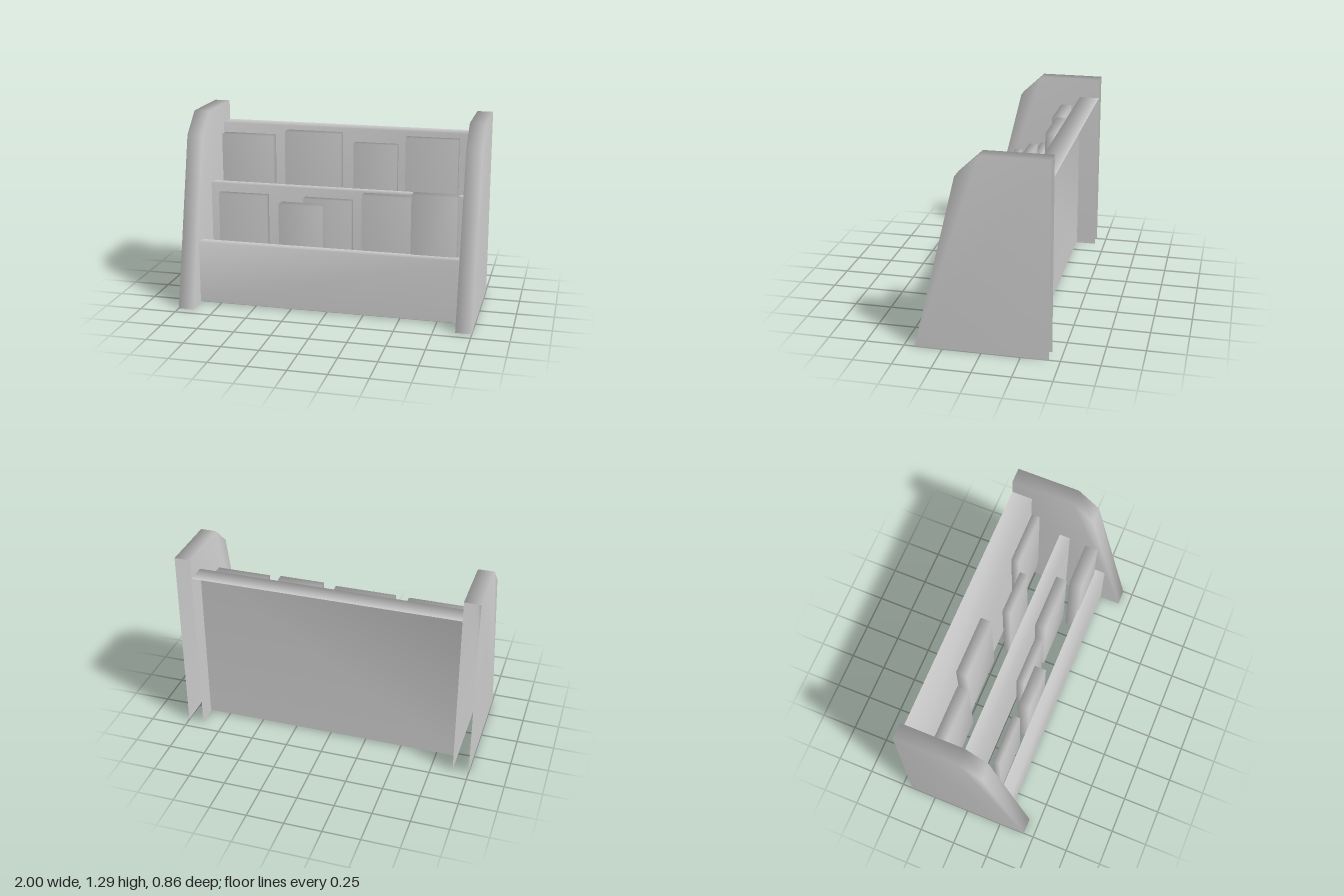
import * as THREE from 'three';
import { mergeVertices } from 'three/addons/utils/BufferGeometryUtils.js';

const material = new THREE.MeshStandardMaterial({ color: 0xcccccc, side: THREE.DoubleSide });

// Open shell: a [z, y] profile swept from x0 to x1, optionally with end caps
function sweep(profile, x0, x1, capped) {
  const n = profile.length, pos = [], idx = [];
  for (const x of [x0, x1]) for (const [z, y] of profile) pos.push(x, y, z);
  // the last profile edge of a capped shell stays open
  const edges = capped ? n - 2 : n - 1;
  for (let i = 0; i < edges; i++) idx.push(i, n + i, n + i + 1, i, n + i + 1, i + 1);
  if (capped) {
    for (let i = 1; i < n - 1; i++) idx.push(0, i, i + 1, n, n + i + 1, n + i);
  }
  const geo = new THREE.BufferGeometry();
  geo.setAttribute('position', new THREE.Float32BufferAttribute(pos, 3));
  geo.setIndex(idx);
  geo.computeVertexNormals();
  return geo;
}

// Box with shared corners, so its edges shade softly
function softBox(x0, x1, y0, y1, z0, z1) {
  const box = new THREE.BoxGeometry(x1 - x0, y1 - y0, z1 - z0);
  box.deleteAttribute('normal');
  box.deleteAttribute('uv');
  const geo = mergeVertices(box);
  geo.translate((x0 + x1) / 2, (y0 + y1) / 2, (z0 + z1) / 2);
  geo.computeVertexNormals();
  return geo;
}

export function createModel() {
  const model = new THREE.Group();
  model.name = 'bookRack';
  const add = (name, geo) => {
    const mesh = new THREE.Mesh(geo, material);
    mesh.name = name;
    model.add(mesh);
  };

  // End panels: sloped front, chamfered top corner, open at back and bottom
  const end = [[0.43, 0], [0.15, 1.15], [0, 1.29], [-0.43, 1.29], [-0.43, 0]];
  add('leftEndPanel', sweep(end, 0.893, 1, true));
  add('rightEndPanel', sweep(end, -1, -0.893, true));

  // Stepped dividers: a front sheet with a top ledge (front z, ledge back z, height)
  const dividers = {
    backDivider: [-0.29, -0.43, 1.155],
    middleDivider: [0, -0.075, 0.785],
    frontDivider: [0.285, 0.21, 0.437],
  };
  for (const [name, [zf, zb, top]] of Object.entries(dividers)) {
    add(name, sweep([[zf, 0.01], [zf, top], [zb, top]], -0.893, 0.893, false));
  }

  // Books: x0, x1, bottom, top, z0, z1
  const backRow = [
    [-0.86, -0.49, 0.4, 1.10, -0.235, -0.157],
    [-0.415, -0.015, 0.4, 1.13, -0.275, -0.2],
    [0.095, 0.395, 0.4, 1.09, -0.17, -0.115],
    [0.44, 0.8, 0.4, 1.13, -0.25, -0.195],
  ];
  const frontRow = [
    [-0.78, -0.44, 0.1, 0.76, 0.12, 0.17],
    [-0.35, -0.05, 0.07, 0.715, 0.12, 0.2],
    [-0.205, 0.13, 0.1, 0.74, 0.05, 0.105],
    [0.2, 0.585, 0.1, 0.785, 0.02, 0.097],
    [0.555, 0.855, 0.1, 0.84, 0.127, 0.217],
  ];
  backRow.forEach((b, i) => add(`backBook${i + 1}`, softBox(...b)));
  frontRow.forEach((b, i) => add(`frontBook${i + 1}`, softBox(...b)));

  return model;
}
